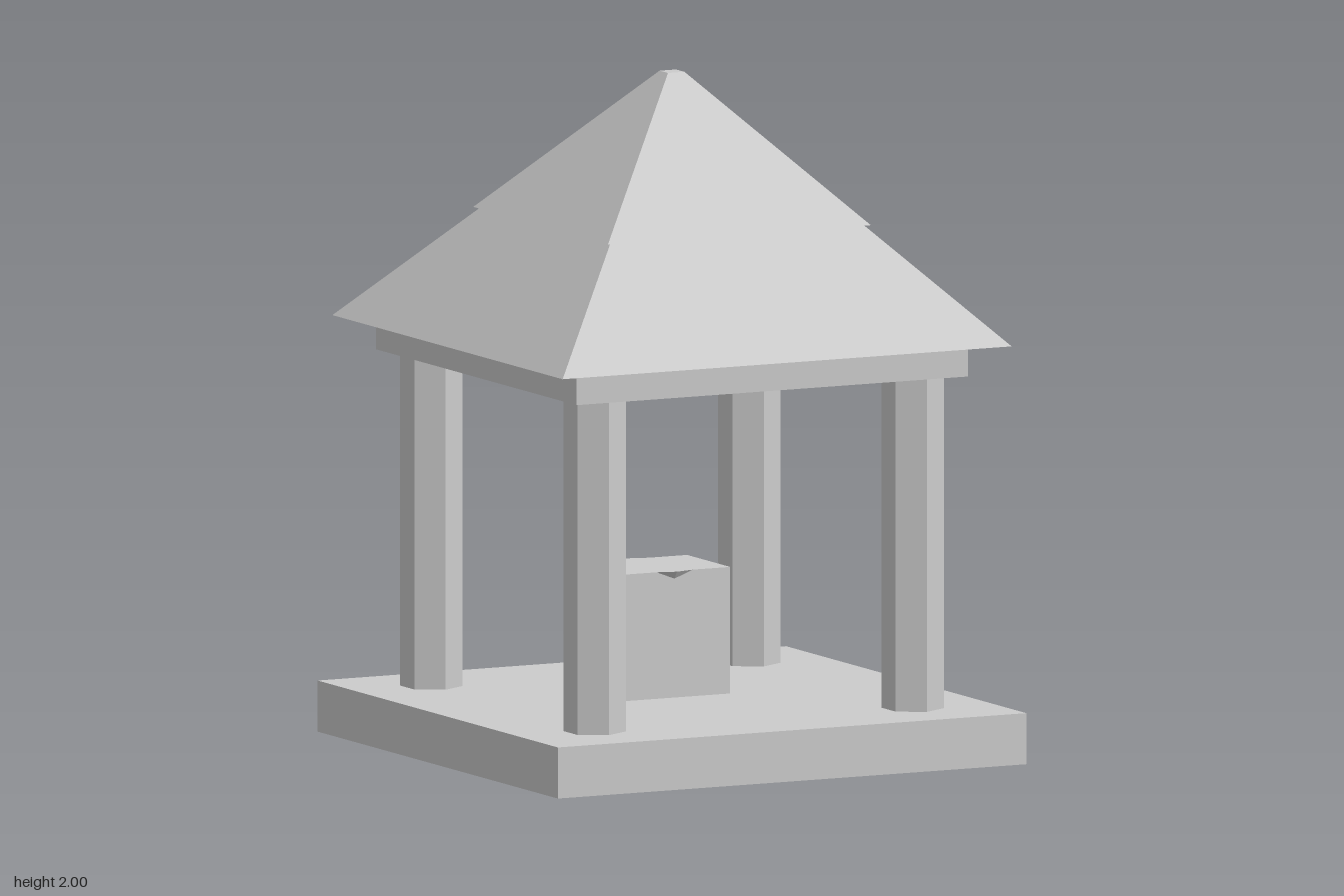
import * as THREE from 'three';

export function createModel() {
  const model = new THREE.Group();
  model.name = 'pavilion';
  const stone = new THREE.MeshStandardMaterial({ color: 0xcccccc, flatShading: true });
  stone.name = 'pale stone';

  function add(name, geometry, x, y, z) {
    const mesh = new THREE.Mesh(geometry, stone);
    mesh.name = name;
    mesh.position.set(x, y, z);
    model.add(mesh);
    return mesh;
  }

  // Box standing on height y0, up to y1
  const block = (name, w, d, y0, y1, z = 0) =>
    add(name, new THREE.BoxGeometry(w, y1 - y0, d), 0, (y0 + y1) / 2, z);

  // Square frustum given by its half widths at bottom and top
  function frustum(name, bottom, top, y0, y1) {
    const g = new THREE.CylinderGeometry(top * Math.SQRT2, bottom * Math.SQRT2, y1 - y0, 4);
    g.rotateY(Math.PI / 4);
    add(name, g, 0, (y0 + y1) / 2, 0);
  }

  // Floor slab
  block('base', 1.54, 1.54, 0, 0.151);

  // Four hexagonal columns
  for (const x of [-1, 1]) {
    for (const z of [-1, 1]) {
      add('column', new THREE.CylinderGeometry(0.0915, 0.0915, 0.993, 6), x * 0.523, 0.6445, z * 0.523);
    }
  }

  // Altar block with a shallow tapered basin whose rim just pokes out front and back
  block('altar', 0.366, 0.276, 0.151, 0.525, -0.122);
  add('basin', new THREE.CylinderGeometry(0.154, 0.09, 0.09, 12), 0, 0.48, -0.122);

  // Ceiling slab and two-tier roof
  block('ceilingSlab', 1.286, 1.286, 1.138, 1.233);
  frustum('lowerRoof', 0.738, 0.413, 1.233, 1.575);
  frustum('upperRoof', 0.432, 0.027, 1.572, 2);

  return model;
}
